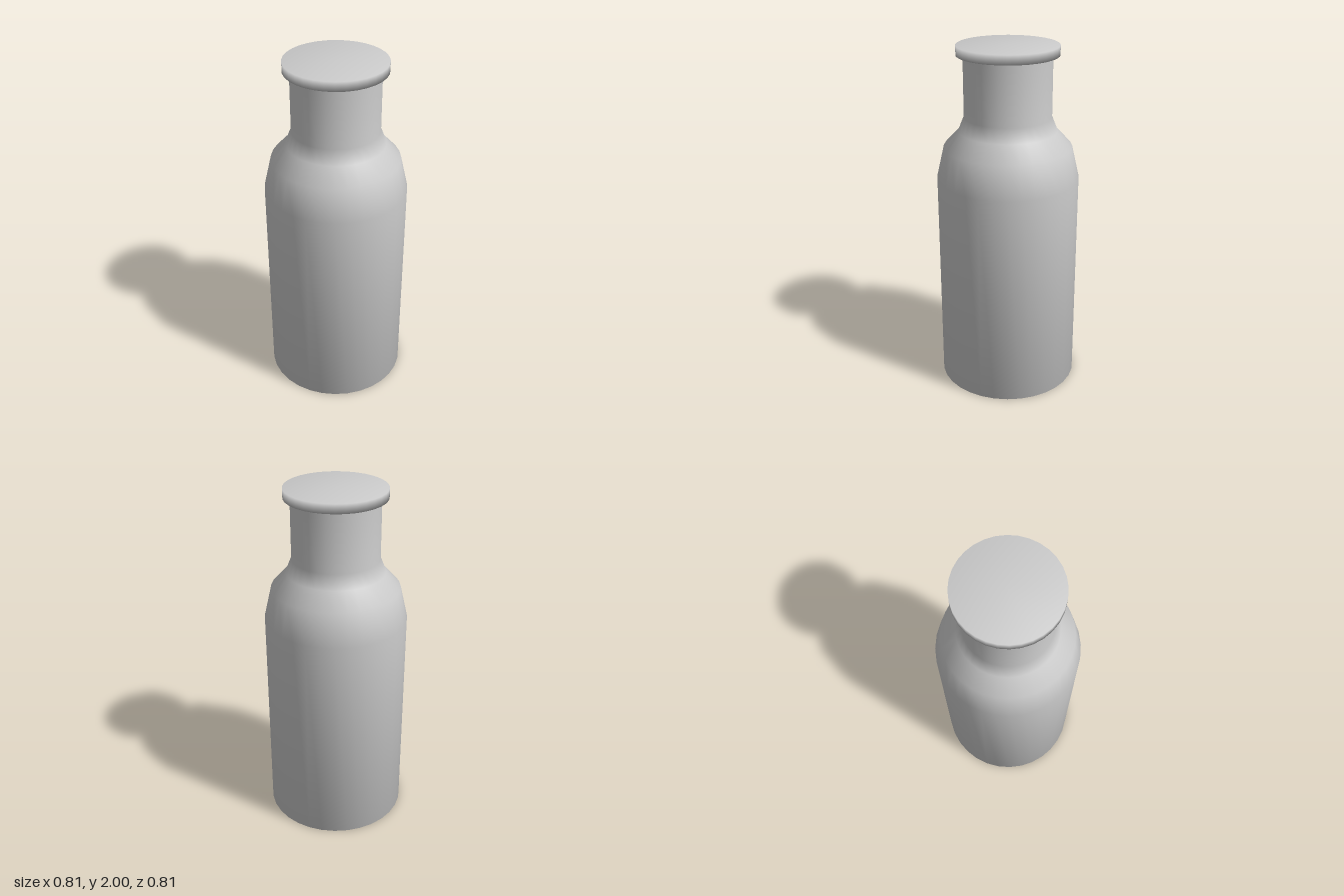
import * as THREE from 'three';

const SIDES = 32;

// Turned part from a bottom-to-top list of [radius, height] points
function turned(name, profile, material) {
  const points = profile.map(([r, y]) => new THREE.Vector2(r, y));
  const mesh = new THREE.Mesh(new THREE.LatheGeometry(points, SIDES), material);
  mesh.name = name;
  return mesh;
}

export function createModel() {
  const group = new THREE.Group();
  group.name = 'bottle';
  const material = new THREE.MeshStandardMaterial({ color: 0xcccccc });

  // Closed base, straight wall, sloping shoulder and neck
  group.add(turned('bottleBody', [
    [0, 0], [0.405, 0], [0.405, 1.25], [0.362, 1.435],
    [0.278, 1.525], [0.246, 1.605], [0.246, 1.95],
  ], material));

  // Flat disc lip closing the mouth
  group.add(turned('lip', [
    [0, 1.947], [0.284, 1.947], [0.284, 2], [0, 2],
  ], material));

  return group;
}
